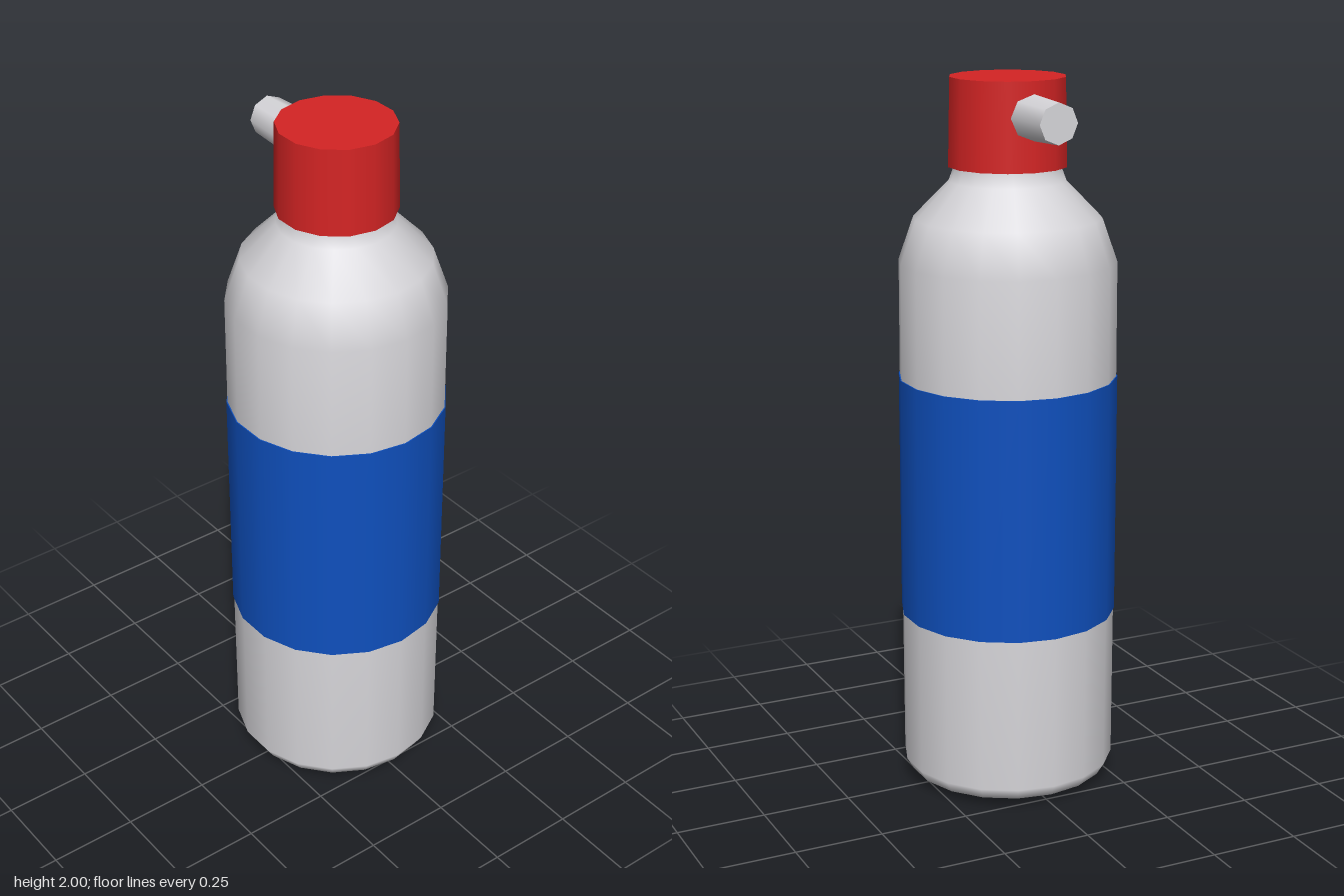
import * as THREE from 'three';

const material = (name, color) => {
  const m = new THREE.MeshStandardMaterial({ color });
  m.name = name;
  return m;
};

export function createModel() {
  const group = new THREE.Group();
  const grey = material('light grey', 0xd8d7db);
  const blue = material('label blue', 0x0f50be);
  const red = material('cap red', 0xd42424);

  const add = (name, geometry, mat, y = 0, z = 0) => {
    const mesh = new THREE.Mesh(geometry, mat);
    mesh.name = name;
    mesh.position.set(0, y, z);
    group.add(mesh);
    return mesh;
  };

  // Bottle: rounded foot, straight wall, sloping shoulder and neck
  const profile = [
    [0.2, 0], [0.28, 0.027], [0.3, 0.06], [0.301, 0.5], [0.301, 1.18],
    [0.3, 1.5], [0.258, 1.62], [0.16, 1.72], [0.145, 1.76], [0.14, 1.82],
  ].map(([r, y]) => new THREE.Vector2(r, y));
  add('body', new THREE.LatheGeometry(profile, 18), grey);

  // Flat underside
  const base = new THREE.CircleGeometry(0.2, 18, Math.PI / 2);
  base.rotateX(Math.PI / 2);
  add('base', base, grey);

  // Wrapped label
  add('label', new THREE.CylinderGeometry(0.304, 0.304, 0.68, 18), blue, 0.84);

  // Cap with a slight taper
  add('cap', new THREE.CylinderGeometry(0.159, 0.164, 0.24, 14), red, 1.88);

  // Nozzle pointing backwards out of the cap
  const nozzle = new THREE.CylinderGeometry(0.055, 0.063, 0.18, 8);
  nozzle.rotateX(-Math.PI / 2);
  add('nozzle', nozzle, grey, 1.905, -0.212);

  return group;
}
